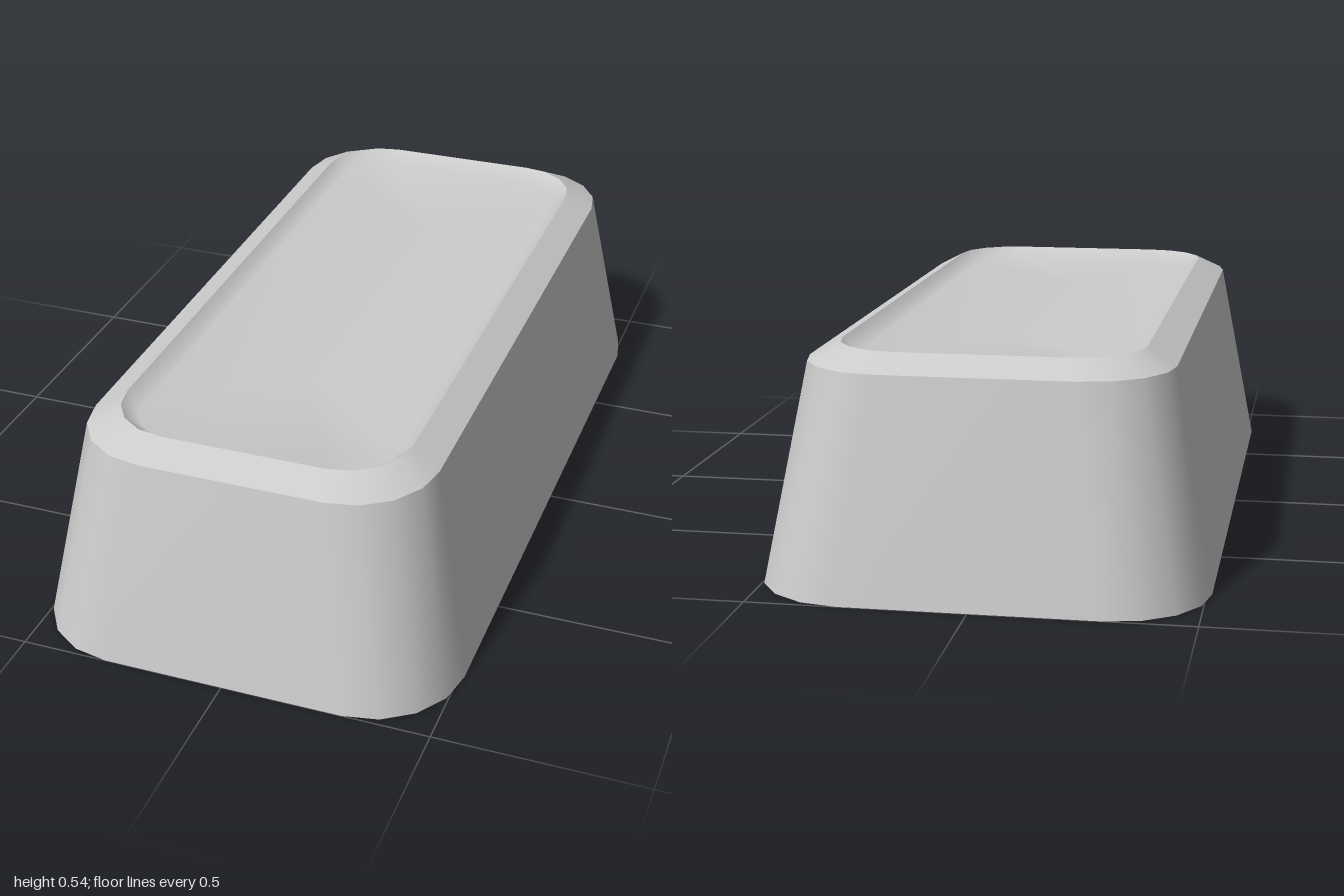
import * as THREE from 'three';

const CORNER_STEPS = 4;

// Rounded rectangle outline at height y: half width hx, half length hz, corner radius r
function ring(hx, hz, r, y) {
  const points = [];
  const signs = [[1, 1], [-1, 1], [-1, -1], [1, -1]];
  signs.forEach(([sx, sz], corner) => {
    for (let i = 0; i <= CORNER_STEPS; i++) {
      const a = (corner + i / CORNER_STEPS) * Math.PI / 2;
      points.push([sx * (hx - r) + r * Math.cos(a), y, sz * (hz - r) + r * Math.sin(a)]);
    }
  });
  return points;
}

// Smooth skin through consecutive rings; separate skins meet at a sharp edge
function skin(name, rings, material) {
  const n = rings[0].length;
  const index = [];
  for (let k = 0; k < rings.length - 1; k++) {
    for (let i = 0; i < n; i++) {
      const j = (i + 1) % n;
      const a0 = k * n + i, a1 = k * n + j;
      const b0 = a0 + n, b1 = a1 + n;
      index.push(a0, b0, a1, a1, b0, b1);
    }
  }
  const geometry = new THREE.BufferGeometry();
  geometry.setAttribute('position', new THREE.Float32BufferAttribute(rings.flat(2), 3));
  geometry.setIndex(index);
  geometry.computeVertexNormals();
  const mesh = new THREE.Mesh(geometry, material);
  mesh.name = name;
  return mesh;
}

export function createModel() {
  const group = new THREE.Group();
  group.name = 'ingot';
  const material = new THREE.MeshStandardMaterial({ color: 0xcccccc });

  const base = ring(0.512, 1, 0.22, 0);
  const shoulder = ring(0.42, 0.908, 0.2, 0.5);
  const rim = ring(0.35, 0.835, 0.155, 0.537);
  const floorEdge = ring(0.312, 0.797, 0.125, 0.505);

  group.add(
    skin('underside', [ring(0, 0, 0, 0), base], material),
    skin('taperedSides', [base, shoulder], material),
    skin('bevel', [shoulder, rim], material),
    // Shallow dish sunk into the top
    skin('dish', [rim, floorEdge, ring(0, 0.45, 0, 0.5)], material),
  );
  return group;
}
